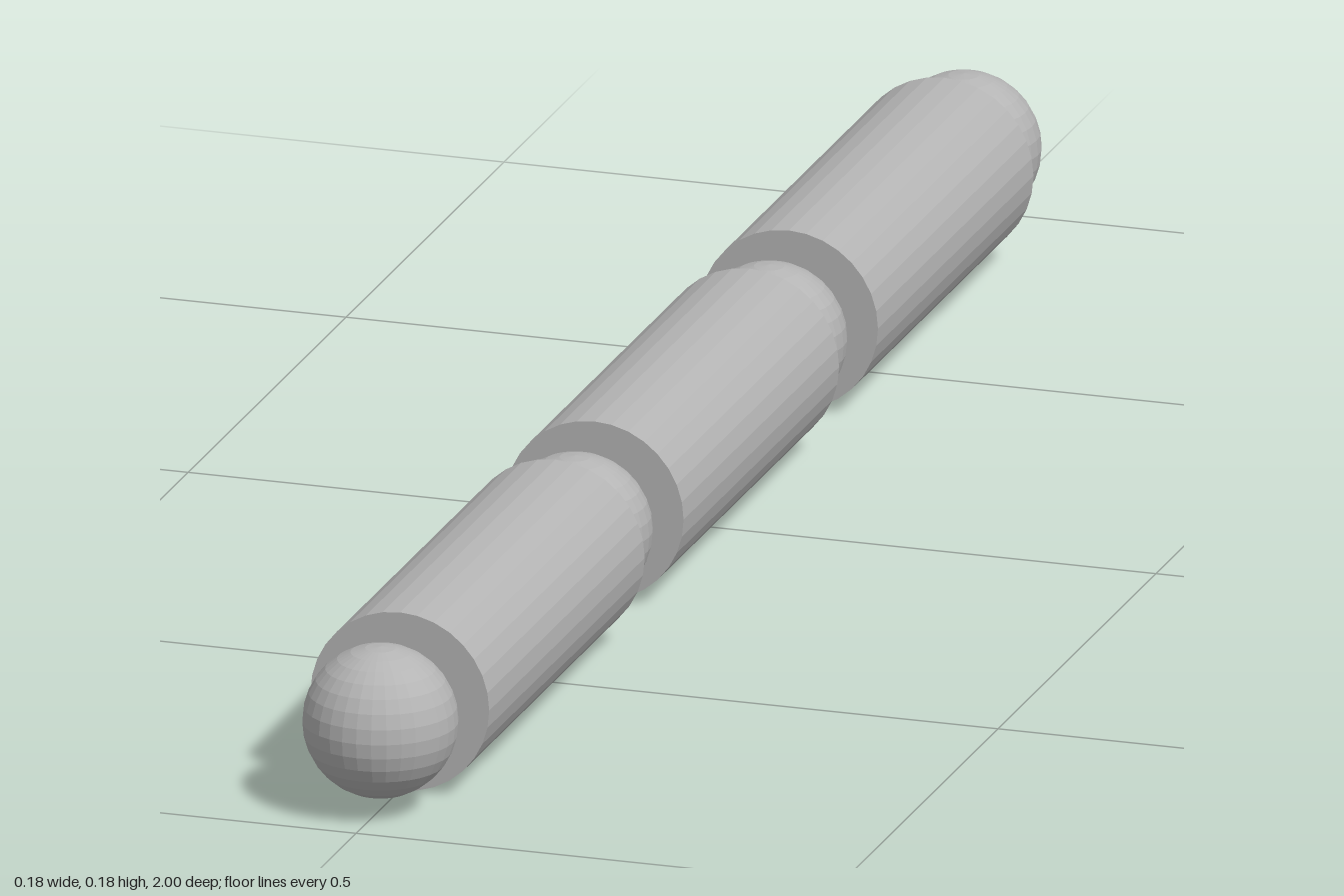
import * as THREE from 'three';

const UNIT = 1 / 13; // joint ball radius
const ROD_RADIUS = 1.2 * UNIT;
const ROD_LENGTH = 6.4 * UNIT;
const SPACING = 8 * UNIT; // distance between neighbouring joints

export function createModel() {
  const group = new THREE.Group();
  group.name = 'segmentedRod';

  const grey = new THREE.MeshStandardMaterial({ color: 0xb4b4b4 });
  grey.name = 'grey';
  grey.flatShading = true;

  const ballGeometry = new THREE.SphereGeometry(UNIT, 32, 16);
  const rodGeometry = new THREE.CylinderGeometry(ROD_RADIUS, ROD_RADIUS, ROD_LENGTH, 32);
  rodGeometry.rotateX(Math.PI / 2);

  const add = (name, geometry, z) => {
    const mesh = new THREE.Mesh(geometry, grey);
    mesh.name = name;
    mesh.position.set(0, ROD_RADIUS, z);
    group.add(mesh);
  };

  // Four joint balls, from back to front
  for (let i = 0; i < 4; i++) add(`jointBall${i + 1}`, ballGeometry, (i - 1.5) * SPACING);

  // Three rods between the balls
  for (let i = 0; i < 3; i++) add(`rod${i + 1}`, rodGeometry, (i - 1) * SPACING);

  return group;
}
